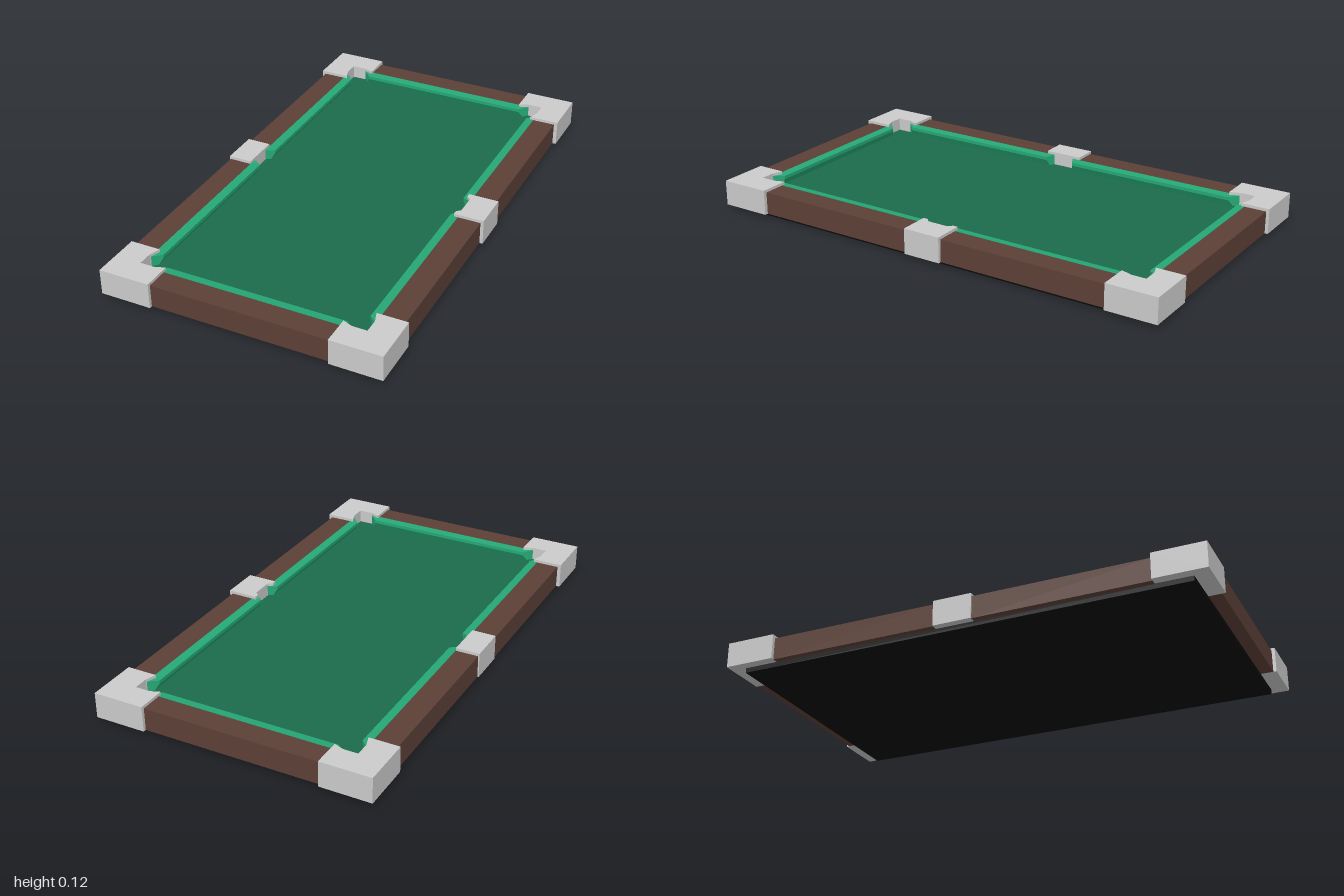
import * as THREE from 'three';

const BASE_TOP = 0.02, CLOTH_TOP = 0.07, RAIL_TOP = 0.113, CAP_TOP = 0.125;
const IN_X = 0.465, IN_Z = 0.895, NOSE = 0.035;

const grey = new THREE.MeshStandardMaterial({ color: 0xcccccc });
const paint = (color) => new THREE.MeshStandardMaterial({ color });
const black = paint(0x0b0a0c), wood = paint(0x5d4037);
const cloth = paint(0x1b6b4b), cushionGreen = paint(0x26a876);

export function createModel() {
  const table = new THREE.Group();
  table.name = 'poolTableTop';

  const add = (name, geometry, material) => {
    const mesh = new THREE.Mesh(geometry, material);
    mesh.name = name;
    table.add(mesh);
    return mesh;
  };

  // Box given by its limits on each axis
  const box = (name, x0, x1, y0, y1, z0, z1, material) =>
    add(name, new THREE.BoxGeometry(x1 - x0, y1 - y0, z1 - z0), material)
      .position.set((x0 + x1) / 2, (y0 + y1) / 2, (z0 + z1) / 2);

  // Upright prism from an outline of [x, z] points
  const cap = (name, outline) => {
    const shape = new THREE.Shape(outline.map(([x, z]) => new THREE.Vector2(x, -z)));
    const g = new THREE.ExtrudeGeometry(shape, { depth: CAP_TOP - BASE_TOP, bevelEnabled: false });
    g.rotateX(-Math.PI / 2).translate(0, BASE_TOP, 0);
    add(name, g, grey);
  };

  // Undercut cushion; its slanted ends run from [back, nose] at the start to the end
  const cushion = (start, end, x, z, turn) => {
    const profile = new THREE.Shape([
      [0, CLOTH_TOP - 0.01], [0.014, CLOTH_TOP - 0.01], [NOSE, 0.096], [NOSE, 0.11], [0, RAIL_TOP + 0.001],
    ].map(([d, y]) => new THREE.Vector2(d, y)));
    const g = new THREE.ExtrudeGeometry(profile, { depth: 1, bevelEnabled: false });
    const p = g.attributes.position;
    for (let i = 0; i < p.count; i++) {
      const [back, nose] = p.getZ(i) > 0.5 ? end : start;
      p.setZ(i, THREE.MathUtils.lerp(back, nose, p.getX(i) / NOSE));
    }
    g.computeVertexNormals();
    const mesh = add('cushion', g, cushionGreen);
    mesh.position.set(x, 0, z);
    mesh.rotation.y = turn;
  };

  // Base board and playing bed
  box('baseBoard', -0.535, 0.535, 0, BASE_TOP, -0.935, 0.935, black);
  box('clothBed', -IN_X, IN_X, BASE_TOP, CLOTH_TOP, -IN_Z, IN_Z, cloth);

  // Corner cap outline for the +x +z corner, with its pocket notch
  const corner = [
    [0.575, 1], [0.365, 1], [0.365, 0.88], [0.405, IN_Z],
    [IN_X, IN_Z], [IN_X, 0.835], [0.45, 0.79], [0.575, 0.79],
  ];

  for (const s of [1, -1]) {
    // End rail and cushion
    box('endRail', -0.365, 0.365, BASE_TOP, RAIL_TOP, s > 0 ? IN_Z : -0.987, s > 0 ? 0.987 : -IN_Z, wood);
    cushion([-0.405, -0.37], [0.405, 0.37], 0, s * IN_Z, s * Math.PI / 2);

    for (const t of [1, -1]) {
      // Side rail halves, corner caps
      const x = [s * IN_X, s * 0.56].sort((a, b) => a - b);
      const z = [t * 0.08, t * 0.79].sort((a, b) => a - b);
      box('sideRail', x[0], x[1], BASE_TOP, RAIL_TOP, z[0], z[1], wood);
      cap('cornerCap', corner.map(([px, pz]) => [s * px, t * pz]));
    }

    // Side cushions either side of the middle pocket
    const turn = s > 0 ? Math.PI : 0;
    cushion([0.045, 0.065], [0.832, 0.797], s * IN_X, 0, turn);
    cushion([-0.832, -0.797], [-0.045, -0.065], s * IN_X, 0, turn);
  }

  // Middle caps: the left one reaches over the cushions, the right one sits flush
  cap('leftMiddleCap', [
    [0.573, -0.08], [0.573, 0.08], [0.448, 0.08], [0.448, 0.06],
    [IN_X, 0.045], [IN_X, -0.045], [0.448, -0.06], [0.448, -0.08],
  ]);
  cap('rightMiddleCap', [[-0.565, -0.08], [-0.565, 0.08], [-IN_X, 0.08], [-IN_X, -0.08]]);

  return table;
}
